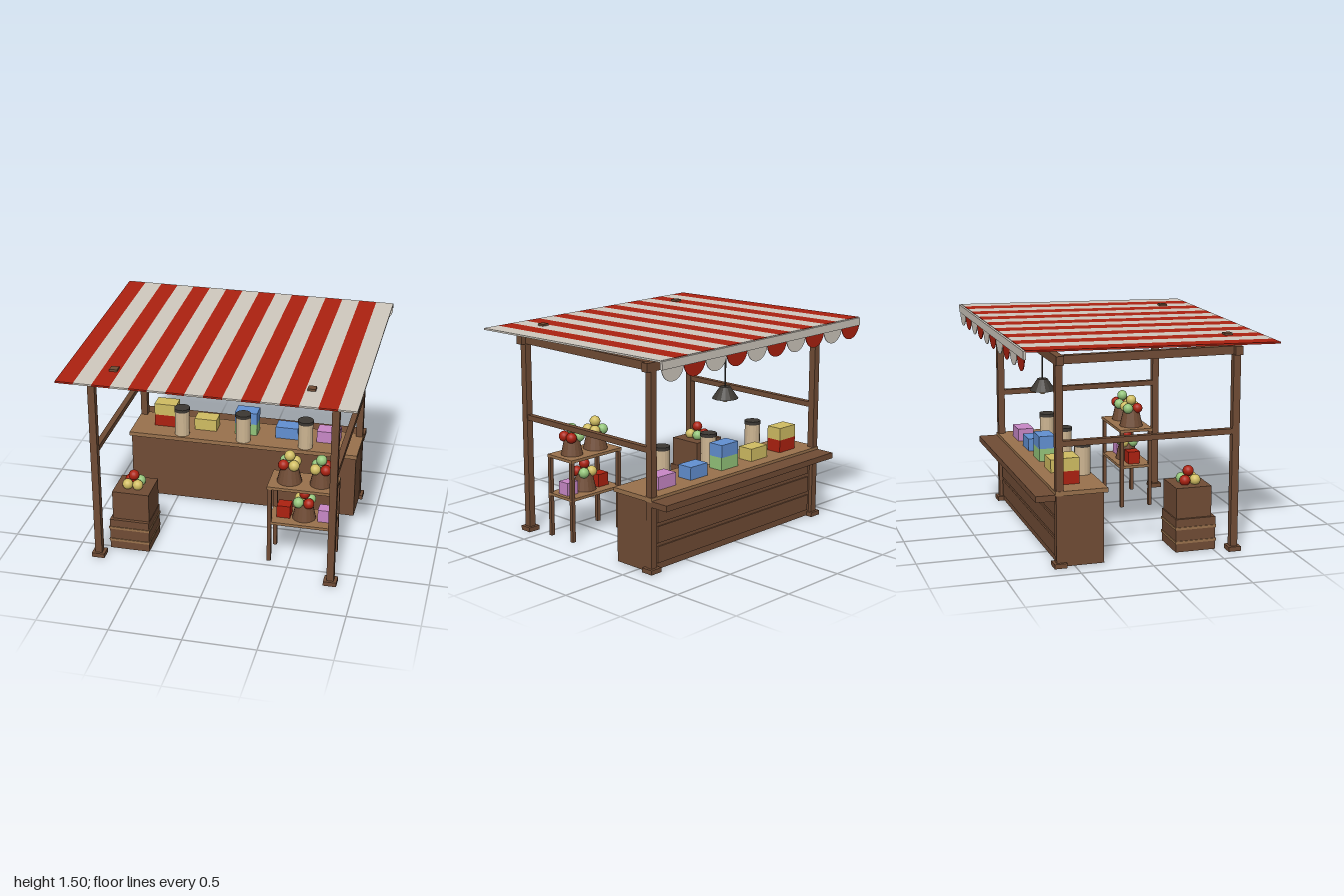
import * as THREE from 'three';

const mat = (name, color) => {
  const m = new THREE.MeshStandardMaterial({ color });
  m.name = name;
  return m;
};

export function createModel() {
  const stall = new THREE.Group();
  stall.name = 'marketStall';
  const wood = mat('wood', 0x704c35), lightWood = mat('lightWood', 0x99714c);
  const red = mat('red', 0xac2110), cream = mat('cream', 0xcfc8be);
  const yellow = mat('yellow', 0xd0bd62), blue = mat('blue', 0x6290d2);
  const green = mat('green', 0x94c47a), pink = mat('pink', 0xc888c6);
  const dark = mat('dark', 0x3c3833), tan = mat('tan', 0xcdb592);

  const add = (name, geo, material, x, y, z) => {
    const m = new THREE.Mesh(geo, material);
    m.name = name;
    m.position.set(x, y, z);
    stall.add(m);
    return m;
  };
  // Box given by its ranges on each axis
  const box = (name, material, x0, x1, y0, y1, z0, z1) =>
    add(name, new THREE.BoxGeometry(x1 - x0, y1 - y0, z1 - z0), material,
      (x0 + x1) / 2, (y0 + y1) / 2, (z0 + z1) / 2);
  // Faceted cylinder or cone standing on y
  const drum = (name, material, rTop, rBottom, h, x, y, z, sides = 16) => {
    const g = new THREE.CylinderGeometry(rTop, rBottom, h, sides).toNonIndexed();
    g.computeVertexNormals();
    return add(name, g, material, x, y + h / 2, z);
  };
  // Four fruits in a ring with one on top
  const fruitGeo = new THREE.SphereGeometry(0.038, 16, 12);
  const fruitPile = (x, y, z, colours) => {
    colours.forEach((c, i) => {
      const a = Math.PI / 4 + i * Math.PI / 2;
      const r = i < 4 ? 0.052 : 0;
      add('fruit', fruitGeo, c, x + r * Math.cos(a), y + (i < 4 ? 0 : 0.057), z + r * Math.sin(a));
    });
  };

  // Frame: posts, feet, canopy blocks, beams and side rails
  for (const z of [0.626, -0.602]) {
    for (const s of [-1, 1]) {
      const x = 0.831 * s;
      box('post', wood, x - 0.025, x + 0.025, 0, 1.42, z - 0.025, z + 0.025);
      box('foot', wood, x - 0.046, x + 0.046, 0, 0.032, z - 0.044, z + 0.044);
      box('canopyBlock', wood, 0.667 * s - 0.027, 0.667 * s + 0.027, 1.42, 1.48, z - 0.027, z + 0.027);
    }
    box('crossBeam', wood, -0.89, 0.89, 1.364, 1.424, z - 0.026, z + 0.026);
  }
  for (const s of [-1, 1]) {
    const x = 0.831 * s;
    box('sideBeam', wood, x - 0.022, x + 0.022, 1.366, 1.422, -0.6, 0.62);
    box('sideRail', wood, x - 0.02, x + 0.02, 0.82, 0.858, -0.6, 0.62);
  }

  // Striped canopy, rising slightly to the back
  const slope = Math.atan2(0.035, 1.725);
  for (let i = 0; i < 16; i++) {
    const x = -1 + i * 0.125;
    const stripe = box('canopyStripe', i % 2 ? cream : red, x, x + 0.125, 1.466, 1.478, -0.855, 0.87);
    stripe.rotation.x = slope;
  }

  // Valance with scalloped edge
  box('valanceStrip', cream, -1, 1, 1.437, 1.492, -0.87, -0.852);
  const half = new THREE.Shape();
  half.absarc(0, 0, 0.1, Math.PI, Math.PI * 2, false);
  const scallop = new THREE.ExtrudeGeometry(half, { depth: 0.004, bevelEnabled: false, curveSegments: 14 });
  for (let i = 0; i < 10; i++)
    add('scallop', scallop, i % 2 ? cream : red, -0.9 + i * 0.2, 1.45, -0.863);

  // Hanging lamp
  drum('lampCord', dark, 0.006, 0.006, 0.4, 0, 1.08, -0.49, 8);
  drum('lampShade', dark, 0.035, 0.091, 0.082, 0, 1.018, -0.49);
  add('bulb', new THREE.SphereGeometry(0.028, 14, 10), tan, 0, 1.016, -0.49);

  // Counter with planked back and a rear ledge
  box('counterBody', wood, -0.85, 0.85, 0.004, 0.492, -0.6, -0.298);
  for (let i = 0; i < 3; i++)
    box('backPlank', wood, -0.78, 0.78, 0.05 + i * 0.14, 0.165 + i * 0.14, -0.61, -0.598);
  box('counterTop', lightWood, -0.86, 0.86, 0.492, 0.523, -0.632, -0.273);
  box('rearLedge', wood, -0.86, 0.86, 0.461, 0.503, -0.767, -0.633);

  // Goods on the counter
  [[red, yellow], [yellow], [green, blue], [blue], [pink]].forEach((stack, i) => {
    const x = -0.62 + i * 0.31;
    stack.forEach((c, k) =>
      box('goodsBox', c, x - 0.084, x + 0.084, 0.523 + k * 0.09, 0.613 + k * 0.09, -0.54, -0.424));
  });
  for (const x of [-0.467, 0, 0.467]) {
    drum('jar', tan, 0.055, 0.055, 0.195, x, 0.523, -0.337);
    drum('jarLid', dark, 0.058, 0.058, 0.024, x, 0.717, -0.337);
  }

  // Display shelf
  for (const x of [0.357, 0.799])
    for (const z of [0.207, 0.428])
      box('shelfLeg', wood, x - 0.014, x + 0.014, 0, 0.578, z - 0.013, z + 0.013);
  box('shelfTop', lightWood, 0.337, 0.815, 0.577, 0.598, 0.19, 0.442);
  box('shelfMiddle', lightWood, 0.343, 0.813, 0.298, 0.318, 0.194, 0.44);
  box('redPackage', red, 0.395, 0.49, 0.318, 0.41, 0.272, 0.362);
  box('pinkPackage', pink, 0.686, 0.784, 0.318, 0.41, 0.272, 0.362);

  // Fruit baskets
  drum('basket', wood, 0.056, 0.088, 0.13, 0.473, 0.598, 0.318);
  fruitPile(0.473, 0.737, 0.318, [yellow, red, green, yellow, yellow]);
  drum('basket', wood, 0.052, 0.078, 0.118, 0.695, 0.598, 0.318);
  fruitPile(0.695, 0.727, 0.318, [red, yellow, green, red, green]);
  drum('basket', wood, 0.056, 0.084, 0.125, 0.583, 0.318, 0.318);
  fruitPile(0.583, 0.45, 0.318, [red, green, yellow, green, red]);

  // Stacked crates
  box('lowerCrate', wood, -0.783, -0.496, 0, 0.232, 0.232, 0.517);
  for (const y of [0.06, 0.157])
    box('crateSlat', lightWood, -0.788, -0.491, y, y + 0.018, 0.227, 0.522);
  box('upperCrate', wood, -0.765, -0.499, 0.232, 0.446, 0.24, 0.492);
  fruitPile(-0.637, 0.473, 0.368, [yellow, yellow, red, green, red]);

  return stall;
}
